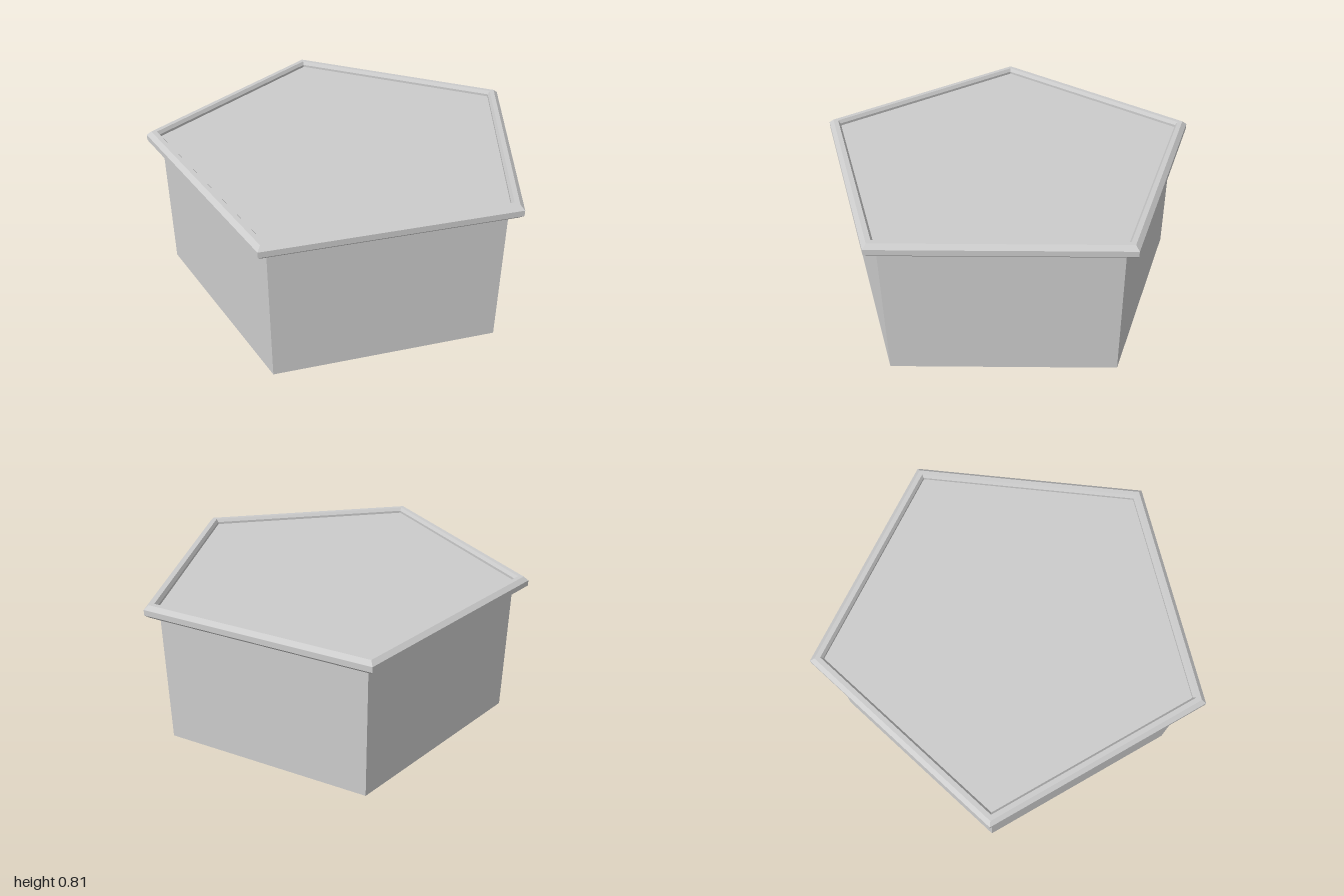
import * as THREE from 'three';

const SIDES = 5;
const CENTRE_Z = 0.1;                       // puts the bounding box centre on z = 0
const toRadius = (apothem) => apothem / Math.cos(Math.PI / SIDES);

const stone = new THREE.MeshStandardMaterial({ color: 0xcccccc });
stone.name = 'light grey';

// One mesh with faceted normals, a corner pointing to the back
function facetedMesh(name, geometry) {
  const flat = geometry.toNonIndexed();
  flat.computeVertexNormals();
  const mesh = new THREE.Mesh(flat, stone);
  mesh.name = name;
  mesh.position.z = CENTRE_Z;
  return mesh;
}

export function createModel() {
  const group = new THREE.Group();
  group.name = 'pentagonalPlinth';

  // Solid body, its top forms the recessed panel inside the rim
  const bodyHeight = 0.775;
  const r = toRadius(0.787);
  const body = new THREE.CylinderGeometry(r, r, bodyHeight, SIDES, 1, false, Math.PI);
  body.translate(0, bodyHeight / 2, 0);
  group.add(facetedMesh('body', body));

  // Chamfered rim: [distance from centre to side, height]
  const profile = [
    [0.78, 0.736], [0.829, 0.736], [0.851, 0.756], [0.851, 0.786],
    [0.829, 0.807], [0.805, 0.807], [0.794, 0.79], [0.794, 0.77],
  ].map(([apothem, y]) => new THREE.Vector2(toRadius(apothem), y));
  group.add(facetedMesh('rim', new THREE.LatheGeometry(profile, SIDES, Math.PI)));

  // Panel reaching the inner wall of the rim
  const panel = new THREE.CylinderGeometry(toRadius(0.797), toRadius(0.797), 0.006, SIDES, 1, false, Math.PI);
  panel.translate(0, 0.774, 0);
  group.add(facetedMesh('topPanel', panel));

  return group;
}
